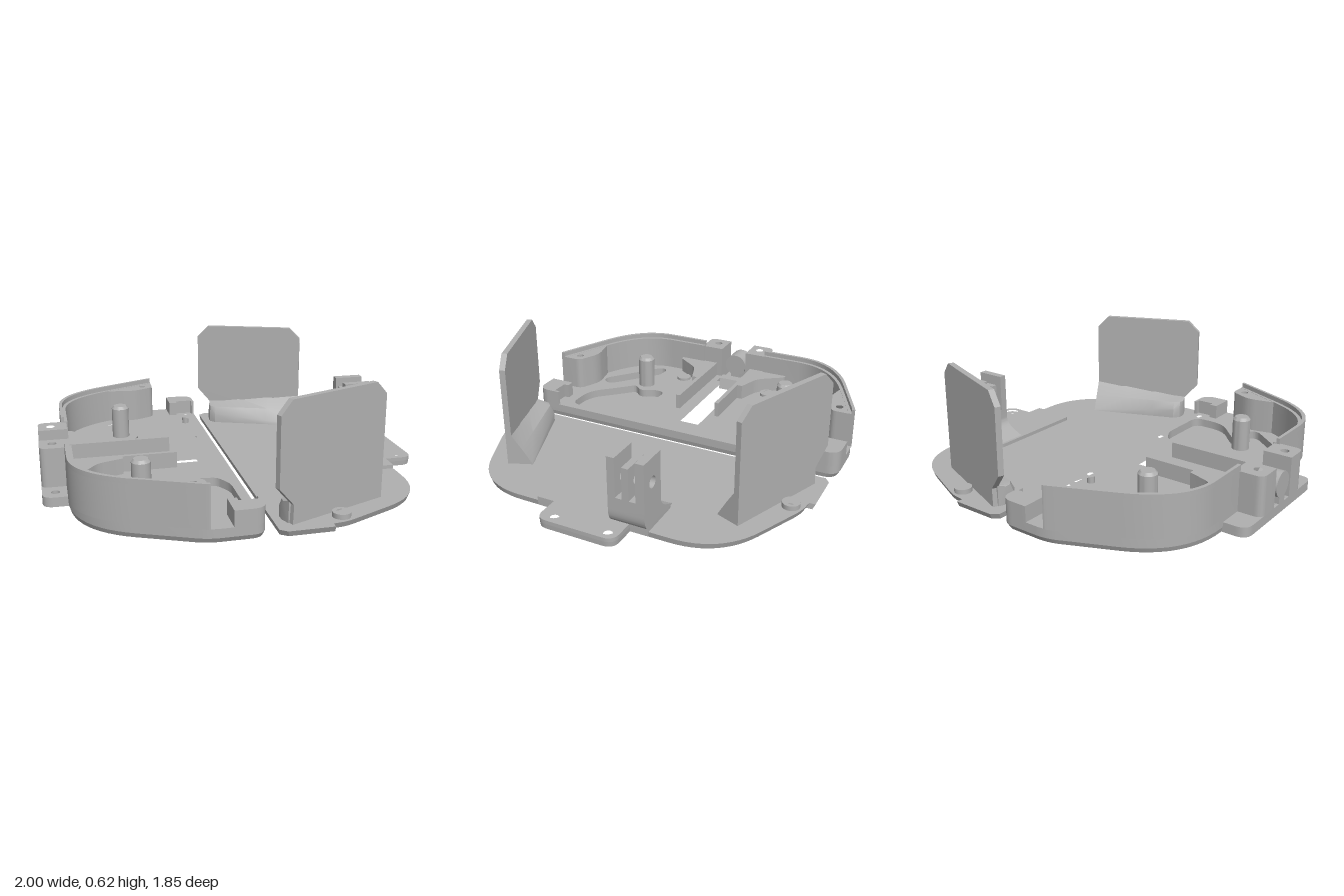
import * as THREE from 'three';
import { toCreasedNormals } from 'three/addons/utils/BufferGeometryUtils.js';

const grey = new THREE.MeshStandardMaterial({ color: 0xb0b0b0 });
grey.name = 'plain grey';

// Closed outline from [x, y, cornerLength] points, corners rounded where given
function trace(path, pts) {
  const n = pts.length;
  pts.forEach((p, i) => {
    const toward = (q) => {
      const a = new THREE.Vector2(p[0], p[1]), b = new THREE.Vector2(q[0], q[1]);
      const len = a.distanceTo(b);
      return a.lerp(b, Math.min(p[2] || 0, len * 0.49) / len);
    };
    const a = toward(pts[(i + n - 1) % n]), b = toward(pts[(i + 1) % n]);
    if (i === 0) path.moveTo(a.x, a.y); else path.lineTo(a.x, a.y);
    if (p[2]) path.quadraticCurveTo(p[0], p[1], b.x, b.y);
  });
  path.closePath();
  return path;
}

const polygon = (x, z, r, n) => Array.from({ length: n }, (_, i) => {
  const a = (i / n) * Math.PI * 2;
  return [x + r * Math.cos(a), z + r * Math.sin(a)];
});
const round = (x, z, r) => polygon(x, z, r, 24);
const hex = (x, z, r) => polygon(x, z, r, 6);

function add(parent, name, geo) {
  const mesh = new THREE.Mesh(toCreasedNormals(geo, 0.5), grey);
  mesh.name = name;
  parent.add(mesh);
  return mesh;
}

function extrude(pts, depth, holes = []) {
  const shape = trace(new THREE.Shape(), pts);
  shape.holes = holes.map((h) => trace(new THREE.Path(), h));
  return new THREE.ExtrudeGeometry(shape, { depth, bevelEnabled: false, curveSegments: 12 });
}

// Horizontal slab from an (x, z) outline; inset narrows its underside
function slab(parent, name, pts, y0, y1, holes = [], inset = 0, cx = 0) {
  const flip = (l) => l.map(([x, z, r]) => [x, -z, r]);
  const geo = extrude(flip(pts), y1 - y0, holes.map(flip));
  geo.rotateX(-Math.PI / 2).translate(0, y0, 0);
  const p = geo.attributes.position;
  for (let i = 0; inset && i < p.count; i++) {
    if (p.getY(i) > y0 + 1e-4) continue;
    p.setX(i, cx + (p.getX(i) - cx) * (1 - inset));
    p.setZ(i, p.getZ(i) * (1 - inset));
  }
  return add(parent, name, geo);
}

const side = (pts, s) => pts.map(([x, z, r]) => [x, z * s, r]);
const both = (pts) => [...pts, ...side(pts, -1).reverse()];
const rect = (x0, x1, z0, z1) => [[x0, z0], [x1, z0], [x1, z1], [x0, z1]];

function buildTray() {
  const tray = new THREE.Group();
  tray.name = 'tray';
  tray.position.z = -0.011;
  const outline = both([[-0.03, 0.917, 0.07], [-0.3, 0.917, 0.06], [-0.877, 0.66, 0.3]]);
  const pocketA = [[-0.27, 0.72, 0.1], [-0.08, 0.72, 0.06], [-0.08, 0.42, 0.04], [-0.13, 0.325, 0.03],
    [-0.46, 0.29, 0.06], [-0.47, 0.36, 0.03], [-0.42, 0.44, 0.05], [-0.48, 0.5, 0.03], [-0.38, 0.6, 0.05]];
  const pocketB = [[-0.8, 0.48, 0.04], [-0.49, 0.735, 0.05], [-0.44, 0.7, 0.03], [-0.44, 0.66, 0.03],
    [-0.555, 0.54, 0.05], [-0.62, 0.45, 0.05], [-0.78, 0.435, 0.03]];
  const slot = rect(-0.82, -0.155, -0.075, 0.075);
  const screws = [[-0.09, 0.75, 0.02], [-0.09, 0.325, 0.02], [-0.35, 0.82, 0.02], [-0.71, 0.28, 0.025]];
  const top = [slot], bottom = [slot];
  for (const s of [1, -1]) {
    for (const [x, z, r] of screws) {
      top.push(round(x, z * s, r));
      bottom.push(x === -0.35 ? hex(x, z * s, 0.035) : round(x, z * s, r));
    }
    top.push(side(pocketA, s), side(pocketB, s));
  }
  slab(tray, 'trayBase', outline, 0, 0.025, bottom, 0.015, -0.45);
  slab(tray, 'trayFloor', outline, 0.025, 0.07, top);
  // Sloped end of the slot
  add(tray, 'slotRamp', extrude([[-0.82, 0.005], [-0.8, 0.005], [-0.82, 0.07]], 0.15).translate(0, 0, -0.075));

  for (const s of [1, -1]) {
    // Side wall with a thin raised lip
    const wall = (t) => side([[-0.29, 0.917], [-0.3, 0.917, 0.06], [-0.877, 0.66, 0.3], [-0.877, 0.2],
      [-0.877 + t, 0.2], [-0.877 + t, 0.66 - t * 0.7, 0.3], [-0.3, 0.917 - t, 0.06], [-0.29, 0.917 - t]], s);
    slab(tray, 'sideWall', wall(0.035), 0.07, 0.26);
    slab(tray, 'wallLip', wall(0.017), 0.26, 0.285);
    slab(tray, 'cornerBoss', side([[-0.29, 0.9], [-0.29, 0.79, 0.03], [-0.42, 0.73, 0.05], [-0.55, 0.755, 0.03],
      [-0.6, 0.77], [-0.32, 0.89]], s), 0.07, 0.259, [round(-0.35, 0.82 * s, 0.02)]);
    slab(tray, 'cornerBlock', side([[-0.185, 0.917], [-0.185, 0.78], [-0.14, 0.78], [-0.14, 0.81], [-0.045, 0.81],
      [-0.045, 0.78], [-0.03, 0.78], [-0.03, 0.917, 0.07]], s), 0.07, 0.15);
    // Round post with chamfered top
    const post = [[0, 0.07], [0.048, 0.07], [0.048, 0.24], [0.036, 0.255], [0, 0.255]];
    add(tray, 'post', new THREE.LatheGeometry(post.map((p) => new THREE.Vector2(...p)), 32))
      .position.set(-0.53, 0, 0.452 * s);
    slab(tray, 'screwRing', round(-0.71, 0.28 * s, 0.042), 0.07, 0.085, [round(-0.71, 0.28 * s, 0.025)]);
    slab(tray, 'rail', side(rect(-0.88, -0.3, 0.112, 0.135), s), 0.07, 0.155);
    slab(tray, 'gusset', side([[-0.85, 0.12], [-0.85, 0.35], [-0.82, 0.35, 0.02], [-0.72, 0.21, 0.04],
      [-0.585, 0.165], [-0.585, 0.12]], s), 0.07, 0.155);
    // Hinge ears: a low screw tab and a tall block
    const tab = side([[-0.86, 0.08], [-1, 0.08], [-1, 0.348, 0.06], [-0.86, 0.348]], s);
    const spots = [0.28, 0.14].map((z) => [-0.935, z * s]);
    slab(tray, 'earBase', tab, 0, 0.02, spots.map(([x, z]) => hex(x, z, 0.036)));
    slab(tray, 'earTab', tab, 0.02, 0.05, spots.map(([x, z]) => round(x, z, 0.022)));
    slab(tray, 'earBlock', side([[-0.85, 0.08], [-1, 0.08], [-1, 0.212, 0.04], [-0.85, 0.212]], s), 0.05, 0.255,
      [round(-0.935, 0.14 * s, 0.022)]);
  }
  // Cylinder between the ears and its foot
  slab(tray, 'earBridge', rect(-1, -0.86, -0.08, 0.08), 0, 0.05);
  add(tray, 'pin', new THREE.CylinderGeometry(0.066, 0.066, 0.115, 40).rotateZ(Math.PI / 2))
    .position.set(-0.9425, 0.145, 0);
  slab(tray, 'pinFoot', rect(-1, -0.885, -0.028, 0.028), 0.05, 0.1);
  return tray;
}

// Flared foot on the inside of a wing, lofted from a block to a wedge
function flareGeometry() {
  const near = [[-0.01, 0.025], [0.105, 0.025], [0.105, 0.085], [0.085, 0.125], [-0.01, 0.14]];
  const far = [[-0.01, 0.025], [0.105, 0.025], [0.1, 0.035], [0.05, 0.118], [-0.01, 0.21]];
  const sections = [[0.075, 0, 0.45], [0.09, 0.02, 0.8], [0.125, 0.05, 1], [0.26, 0.3, 1], [0.45, 0.65, 1], [0.64, 1, 1]];
  const pos = [], idx = [], n = near.length;
  sections.forEach(([x, t, w], k) => {
    near.forEach(([d, y], i) => pos.push(x, y + (far[i][1] - y) * t, -0.03 - w * (d + (far[i][0] - d) * t)));
    for (let i = 0; k && i < n; i++) {
      const a = (k - 1) * n + i, b = (k - 1) * n + ((i + 1) % n);
      idx.push(a, b, a + n, b, b + n, a + n);
    }
  });
  const e = (sections.length - 1) * n;
  for (let i = 1; i < n - 1; i++) idx.push(0, i + 1, i, e, e + i, e + i + 1);
  const geo = new THREE.BufferGeometry();
  geo.setAttribute('position', new THREE.Float32BufferAttribute(pos, 3));
  geo.setIndex(idx);
  return geo;
}

function buildCover() {
  const cover = new THREE.Group();
  cover.name = 'cover';
  cover.position.z = 0.005;
  const outline = both([[0.025, 0.89], [0.06, 0.917], [0.285, 0.917], [0.285, 0.885], [0.36, 0.877, 0.05], [0.845, 0.66, 0.25]]);
  const holes = [1, -1].map((s) => round(0.35, 0.815 * s, 0.022));
  slab(cover, 'coverPlate', outline, 0, 0.03, holes, 0.015, 0.43);
  // Raised pad with a screw tab
  const pad = [[0.595, -0.305, 0.04], [0.845, -0.305], [0.845, -0.21], [1, -0.21, 0.06], [1, 0.208, 0.06],
    [0.845, 0.208], [0.845, 0.303], [0.595, 0.303, 0.04]];
  const bores = (r) => [1, -1].map((s) => round(0.935, 0.145 * s, r));
  slab(cover, 'padBase', pad, 0.004, 0.03, bores(0.022), 0.01, 0.8);
  slab(cover, 'pad', pad, 0.03, 0.05, bores(0.038));

  for (const s of [1, -1]) {
    slab(cover, 'screwRing', round(0.35, 0.815 * s, 0.045), 0.03, 0.055, [round(0.35, 0.815 * s, 0.025)]);
    const mirror = new THREE.Group(), wing = new THREE.Group();
    mirror.name = s > 0 ? 'frontWing' : 'backWing';
    mirror.scale.z = s;
    wing.name = 'wing';
    wing.position.set(0.025, 0, 0.885);
    wing.rotation.y = 0.376;
    mirror.add(wing);
    cover.add(mirror);
    add(wing, 'wingPanel', extrude([[0, 0.22], [0, 0.56], [0.065, 0.625], [0.575, 0.625], [0.64, 0.56],
      [0.64, 0.025], [0.08, 0.025], [0.085, 0.125]], 0.03).translate(0, 0, -0.03));
    add(wing, 'wingFlare', flareGeometry());
  }

  // Pronged mount: flared foot and three fins
  const mount = new THREE.Group();
  mount.name = 'mount';
  cover.add(mount);
  add(mount, 'mountFoot', extrude([[0.6, 0.045], [0.72, 0.1, 0.12], [0.72, 0.19], [0.88, 0.19], [0.88, 0.06, 0.08],
    [0.81, 0.03]], 0.19).translate(0, 0, -0.305));
  const fins = [[-0.305, 0.045, 0.395, round(0.8, 0.27, 0.03)], [-0.225, 0.035, 0.355, round(0.8, 0.27, 0.03)],
    [-0.155, 0.02, 0.395, round(0.8, 0.27, 0.03)], [-0.135, 0.02, 0.395, hex(0.8, 0.27, 0.052)]];
  for (const [z, depth, y, hole] of fins)
    add(mount, 'fin', extrude(rect(0.72, 0.88, 0.18, y), depth, [hole]).translate(0, 0, z));
  return cover;
}

export function createModel() {
  const model = new THREE.Group();
  model.name = 'trayAndCover';
  model.add(buildTray(), buildCover());
  return model;
}
